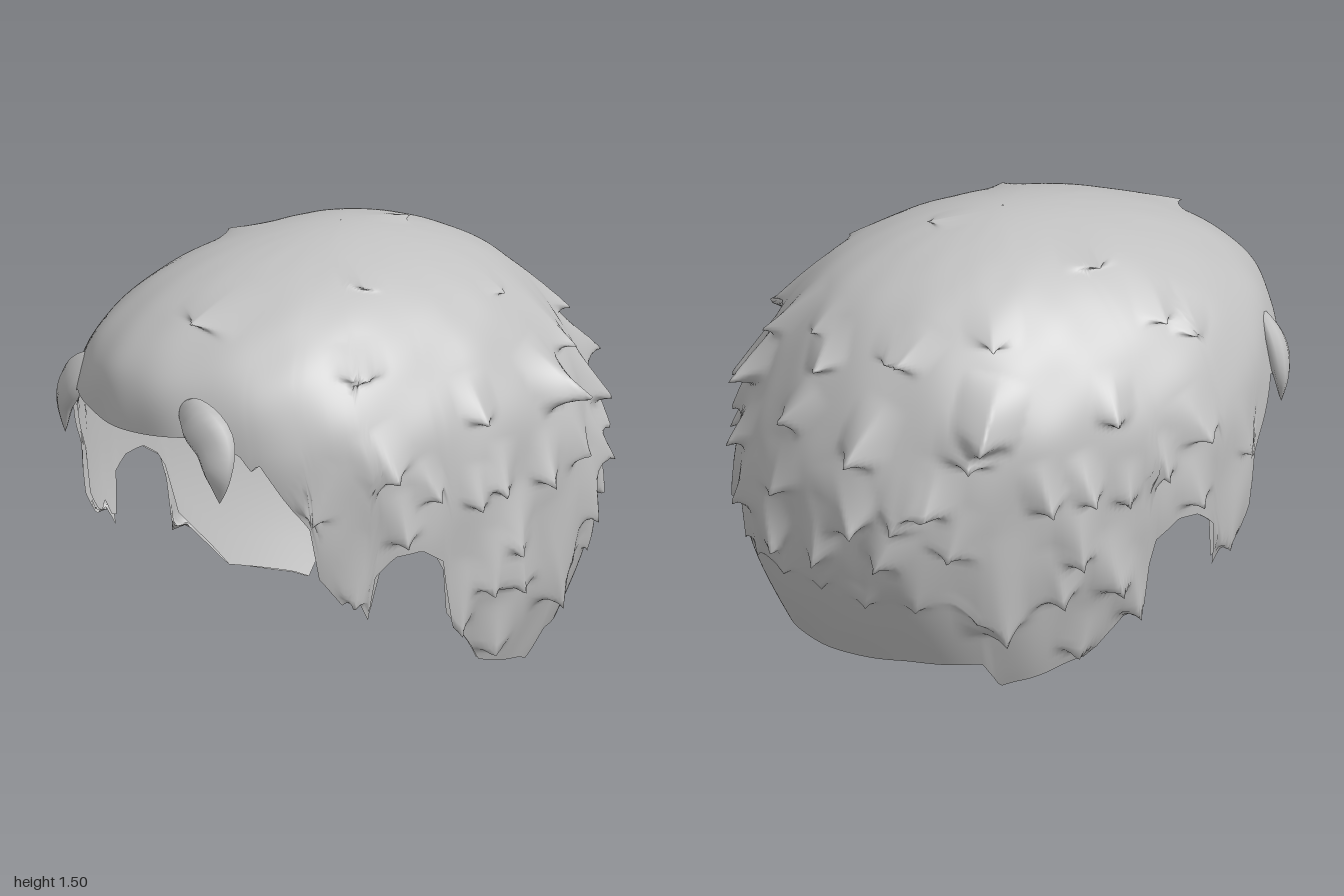
import * as THREE from 'three';

const TOP = 1.505, KMAX = 1.35;
// Dome profile at equal steps of k = sqrt(TOP - y): half width, front depth, back depth
const profile = new THREE.CatmullRomCurve3([
  [0, 0, 0], [0.17, 0.26, 0.2], [0.35, 0.54, 0.42], [0.515, 0.775, 0.62], [0.65, 0.945, 0.76],
  [0.75, 0.985, 0.87], [0.775, 0.96, 0.94], [0.755, 0.94, 0.915], [0.67, 0.87, 0.765], [0.52, 0.7, 0.5],
].map((p) => new THREE.Vector3(...p)), false, 'catmullrom');

// Lower hairline: cosine of the angle from the front -> height
const hairline = [
  [1, 0.96], [0.95, 0.975], [0.89, 0.99], [0.83, 0.93], [0.81, 0.88], [0.79, 0.91], [0.74, 0.79],
  [0.72, 0.75], [0.67, 0.67], [0.65, 0.5], [0.57, 0.39], [0.53, 0.43], [0.475, 0.32], [0.45, 0.5],
  [0.38, 0.55], [0.28, 0.56], [0.18, 0.5], [0.145, 0.3], [0, 0.15], [-0.07, 0.08], [-0.4, 0.02],
  [-0.47, 0], [-0.53, 0.1], [-0.8, 0.09], [-1, 0.065],
];

const heightToK = (y) => Math.sqrt(Math.max(0, TOP - y));

function hairlineY(c) {
  for (let i = 1; i < hairline.length; i++) {
    const [c0, y0] = hairline[i - 1], [c1, y1] = hairline[i];
    if (c >= c1) return y0 + (y1 - y0) * (c0 - c) / (c0 - c1);
  }
  return 0.065;
}

// Point on the smooth dome at angle th (0 = front, + = left) and depth k
function dome(th, k) {
  const p = profile.getPoint(Math.min(1, k / KMAX));
  const c = Math.cos(th);
  const fuller = 1 + (c > 0 ? 0.07 : 0.03) * Math.sin(2 * th) ** 2;
  return new THREE.Vector3(p.x * Math.sin(th) * fuller, TOP - k * k, (c > 0 ? p.y : p.z) * c);
}

const outward = (p) => new THREE.Vector3(p.x, (p.y - 0.6) * 0.6, p.z).normalize();

// Open dome cut along the hairline; sculpt(point, th, k) moves each point
function shellGeometry(cols, rows, sculpt) {
  const pts = [], idx = [];
  for (let j = 0; j <= rows; j++) {
    for (let i = 0; i < cols; i++) {
      const th = (i / cols) * Math.PI * 2;
      const k = Math.max(0.002, heightToK(hairlineY(Math.cos(th))) * j / rows);
      const p = dome(th, k);
      sculpt(p, th, k);
      pts.push(p);
      if (j < rows) {
        const n = (i + 1) % cols, a = j * cols + i, b = j * cols + n;
        idx.push(a, a + cols, b, b, a + cols, b + cols);
      }
    }
  }
  return buildGeometry(pts, idx);
}

function buildGeometry(points, index) {
  const g = new THREE.BufferGeometry().setFromPoints(points);
  g.setIndex(index);
  g.computeVertexNormals();
  return g;
}

// A lock is a ramp pulled out of the shell: it rises from its root and overhangs at its tip
function makeLock(th, k, length, width, lift, turn) {
  const e = 0.01, kt = k + length / 1.9;
  const side = dome(th + e, kt).sub(dome(th - e, kt)).normalize();
  const down = dome(th, kt + e).sub(dome(th, kt - e)).normalize();
  const out = down.clone().cross(side).normalize();
  side.applyAxisAngle(out, turn);
  down.applyAxisAngle(out, turn);
  return { tip: dome(th, kt), side, down, out, length: length * 1.2, half: width * 0.72, lift };
}

function pullLocks(p, locks) {
  const move = new THREE.Vector3(), d = new THREE.Vector3();
  for (const l of locks) {
    d.subVectors(p, l.tip);
    if (d.lengthSq() > 0.16) continue;
    const u = d.dot(l.side), v = d.dot(l.down);
    const along = v < 0 ? 1 + v / l.length : 1 - v / (l.length * 0.3);
    const across = 1 - Math.abs(u) / l.half;
    if (along <= 0 || across <= 0) continue;
    const w = along ** 1.2 * across;
    move.addScaledVector(l.out, l.lift * w)
      .addScaledVector(l.down, l.length * 0.45 * w)
      .addScaledVector(l.side, -u * 0.6 * w);
  }
  p.add(move);
}

// Free hanging lock: a flattened tube along a curve, pointed at both ends
function hangingLock(path, width) {
  const curve = new THREE.CatmullRomCurve3(path.map((p) => new THREE.Vector3(...p)));
  const steps = 16, sides = 10, pts = [], idx = [];
  for (let j = 0; j <= steps; j++) {
    const t = j / steps, c = curve.getPoint(t), out = outward(c);
    const side = curve.getTangent(t).cross(out).normalize();
    const r = width * (0.01 + Math.max(0, Math.sin(Math.PI * t ** 0.75)) ** 0.9) * 0.5;
    for (let i = 0; i < sides; i++) {
      const q = (i / sides) * Math.PI * 2;
      pts.push(c.clone().addScaledVector(side, -Math.cos(q) * r).addScaledVector(out, Math.sin(q) * r * 0.5));
      if (j < steps) {
        const n = (i + 1) % sides, a = j * sides + i, b = j * sides + n;
        idx.push(a, b, a + sides, b, b + sides, a + sides);
      }
    }
  }
  return buildGeometry(pts, idx);
}

// Side locks: z, height of root, length, width, lift
const sideLocks = [
  [0.38, 1.24, 0.1, 0.11, 0.03], [0.36, 0.97, 0.12, 0.16, 0.05], [0.02, 1.08, 0.12, 0.11, 0.05],
  [-0.4, 1.1, 0.16, 0.17, 0.14], [0.34, 0.76, 0.12, 0.13, 0.05], [0.2, 0.86, 0.1, 0.1, 0.05],
  [0.05, 0.8, 0.1, 0.1, 0.05], [-0.1, 0.85, 0.12, 0.1, 0.06], [-0.25, 0.84, 0.12, 0.11, 0.06],
  [-0.14, 0.69, 0.15, 0.12, 0.06], [-0.21, 0.54, 0.14, 0.14, 0.06], [-0.42, 0.58, 0.24, 0.21, 0.06],
  [0, 0.56, 0.14, 0.13, 0.06], [-0.1, 0.3, 0.12, 0.14, 0.05], [0.5, 0.62, 0.16, 0.13, 0.03],
  [0.6, 0.88, 0.14, 0.13, 0.03], [0.1, 0.48, 0.16, 0.12, 0.06], [-0.68, 0.82, 0.14, 0.14, 0.06],
];

// Crown locks: x, z of root, length, width, lift
const crownLocks = [
  [-0.36, -0.24, 0.22, 0.14, 0.025], [-0.24, 0.1, 0.16, 0.16, 0.025], [0.02, -0.12, 0.12, 0.1, 0.015],
  [0.1, 0.55, 0.17, 0.2, 0.03], [0.28, 0.16, 0.1, 0.1, 0.02], [0.52, 0.34, 0.1, 0.1, 0.02],
  [0.38, -0.28, 0.1, 0.1, 0.015], [-0.28, -0.58, 0.1, 0.09, 0.02], [0, -0.66, 0.1, 0.1, 0.02],
  [-0.45, 0.26, 0.15, 0.12, 0.025],
];

export function createModel() {
  const group = new THREE.Group();
  const hair = new THREE.MeshStandardMaterial({ color: 0xc0c0c0, side: THREE.DoubleSide });
  hair.name = 'greyHair';
  let seed = 7;
  const rnd = () => (seed = (seed * 16807) % 2147483647) / 2147483647;
  const add = (name, geo) => {
    const m = new THREE.Mesh(geo, hair);
    m.name = name;
    group.add(m);
  };
  const jitter = (size) => (rnd() - 0.5) * size;
  const locks = [];

  for (const s of [-1, 1]) {
    for (const [z, y, len, w, lift] of sideLocks) {
      const k = heightToK(y), p = profile.getPoint(k / KMAX);
      const th = Math.acos((z + (s > 0 ? jitter(0.08) : 0)) / (z > 0 ? p.y : p.z));
      locks.push(makeLock(s * th, k, len, w, lift, jitter(0.9)));
    }
  }
  for (const [x, z, len, w, lift] of crownLocks) {
    let k = 0.02, p = profile.getPoint(k / KMAX);
    const depth = () => (z > 0 ? p.y : p.z);
    while (k < 1 && (x / p.x) ** 2 + (z / depth()) ** 2 > 1) p = profile.getPoint((k += 0.005) / KMAX);
    locks.push(makeLock(Math.atan2(x / p.x, z / depth()), k, len, w, lift, jitter(1)));
  }
  // Staggered rows around the back: height, count, lift
  [[1.22, 4, 0.05], [1.04, 5, 0.08], [0.86, 6, 0.06], [0.7, 7, 0.05]].forEach(([y, n, lift], row) => {
    for (let i = 0; i < n; i++) {
      const th = Math.PI + ((i + 0.5 + (row % 2 ? 0.2 : -0.2)) / n - 0.5) * 2.1 + jitter(0.14);
      locks.push(makeLock(th, heightToK(y + jitter(0.1)), 0.11 + rnd() * 0.06, 0.1 + rnd() * 0.07,
        lift * (0.7 + rnd() * 0.5), jitter(1)));
    }
  });
  // Flat jagged layer just above the nape
  for (let i = 0; i < 10; i++) {
    locks.push(makeLock(Math.PI + (i / 9 - 0.5) * 2, heightToK(0.54 + jitter(0.05)), 0.13, 0.15, 0.015, jitter(0.3)));
  }

  add('hairShell', shellGeometry(340, 120, (p, th, k) => {
    const fade = Math.min(1, k * k * 1.1) * (Math.cos(th) < -0.5 && p.y < 0.4 ? 0.3 : 1);
    const lump = Math.sin(th * 11 + k * 9) * Math.sin(k * 21 + th * 3) + 0.6 * Math.sin(th * 17 - k * 14);
    const out = outward(p);
    pullLocks(p, locks);
    p.addScaledVector(out, lump * 0.007 * fade);
  }));

  // Smooth inner face
  add('lining', shellGeometry(180, 28, (p) => p.addScaledVector(outward(p), -0.012)));

  // Fringe locks hanging over the forehead
  add('fringeLockLeft', hangingLock([[0.22, 1.08, 0.9], [0.33, 1.06, 0.92], [0.42, 0.99, 0.91],
    [0.465, 0.89, 0.93], [0.46, 0.79, 0.92]], 0.16));
  add('fringeLockRight', hangingLock([[-0.36, 1.1, 0.8], [-0.44, 1.0, 0.82], [-0.49, 0.9, 0.82],
    [-0.49, 0.79, 0.82]], 0.16));
  return group;
}
